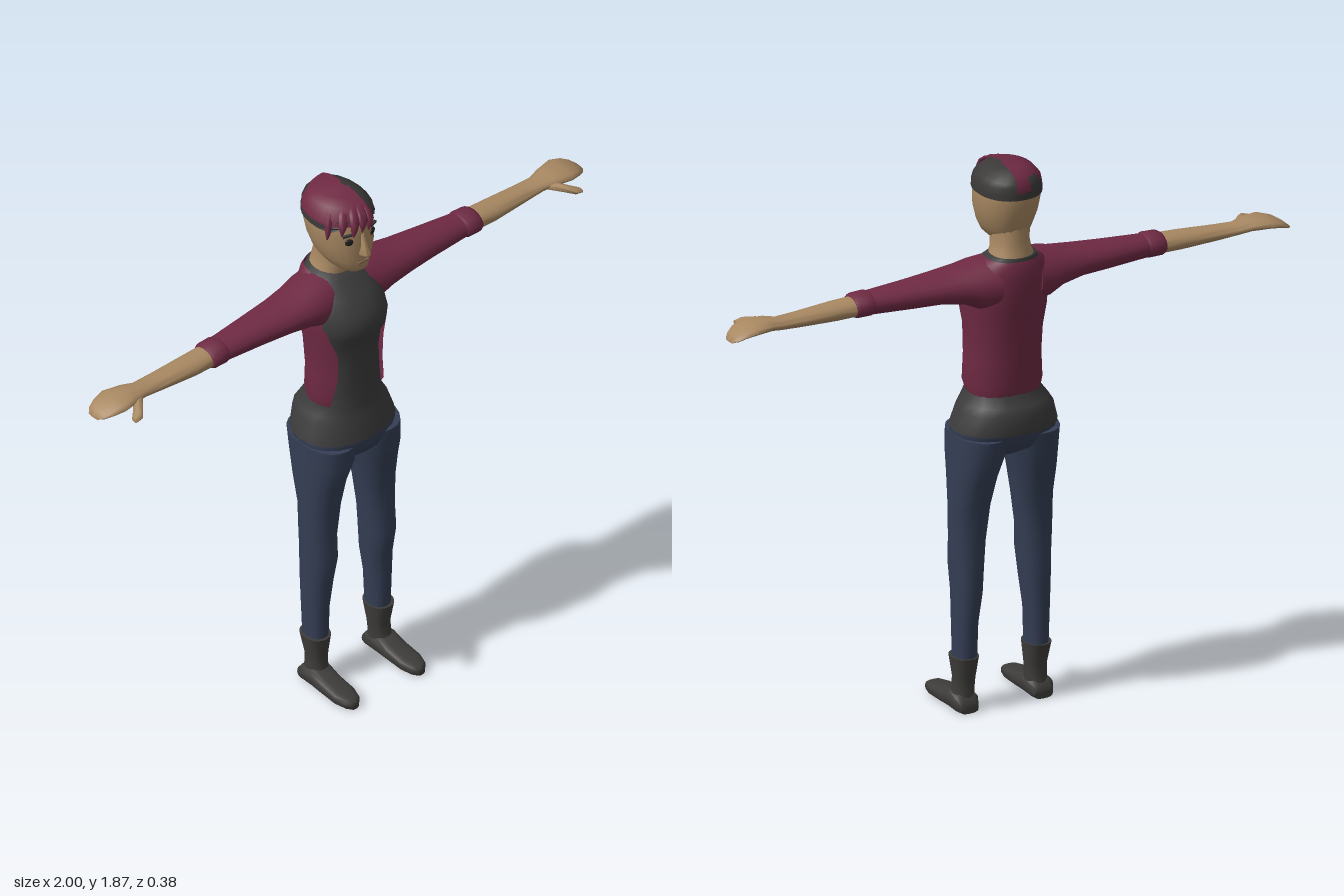
import * as THREE from 'three';
import { toCreasedNormals } from 'three/addons/utils/BufferGeometryUtils.js';

const N = 20;
const sp = (v, p) => Math.sign(v) * Math.abs(v) ** p;

// Cross-section rings: level (with optional opening at the front), across x, across z
function yRing(y, cx, hw, zf, zb, a0 = 0, a1 = null, p = 0.9) {
  const open = a1 !== null, out = [];
  for (let i = 0; i < (open ? N + 1 : N); i++) {
    const a = open ? a0 + (a1 - a0) * i / N : 2 * Math.PI * i / N;
    out.push([cx + hw * sp(Math.sin(a), p), y, (zf + zb) / 2 + (zf - zb) / 2 * sp(Math.cos(a), p)]);
  }
  return out;
}
function xRing([x, cy, hy, cz, hz]) {
  return Array.from({ length: N }, (_, i) => {
    const a = 2 * Math.PI * i / N;
    return [x, cy + hy * Math.cos(a), cz + hz * Math.sin(a)];
  });
}
function zRing([z, cx, hw, h]) {
  return Array.from({ length: N }, (_, i) => {
    const a = 2 * Math.PI * i / N;
    return [cx - hw * sp(Math.sin(a), 0.7), h / 2 + h / 2 * sp(Math.cos(a), 0.6), z];
  });
}

// Skin a list of rings; closed rings get end caps
function loft(rings, closed = true) {
  const n = rings[0].length, pos = rings.flat(), idx = [];
  for (let r = 0; r < rings.length - 1; r++) {
    for (let i = 0; i < (closed ? n : n - 1); i++) {
      const a = r * n + i, b = r * n + (i + 1) % n;
      idx.push(a, b, b + n, a, b + n, a + n);
    }
  }
  if (closed) {
    [0, rings.length - 1].forEach((r, end) => {
      const c = pos.length;
      pos.push([0, 1, 2].map(k => rings[r].reduce((s, v) => s + v[k], 0) / n));
      for (let i = 0; i < n; i++) {
        const a = r * n + i, b = r * n + (i + 1) % n;
        end ? idx.push(a, b, c) : idx.push(b, a, c);
      }
    });
  }
  const g = new THREE.BufferGeometry();
  g.setAttribute('position', new THREE.Float32BufferAttribute(pos.flat(), 3));
  g.setIndex(idx);
  return g;
}
const loftY = rows => loft(rows.map(r => yRing(...r)));
const loftX = rows => loft(rows.map(xRing));

function mirrored(g) {
  const m = g.clone().scale(-1, 1, 1);
  if (m.index) m.index.array.reverse();
  return m;
}

export function createModel() {
  const model = new THREE.Group();
  model.name = 'standingWoman';
  const mat = (name, color) => Object.assign(new THREE.MeshStandardMaterial({ color }), { name });
  const skin = mat('skin', 0xa88862), burgundy = mat('burgundy', 0x6f2a43);
  const charcoal = mat('charcoal shirt', 0x3b3b3b), denim = mat('denim', 0x343e54);
  const leather = mat('boot leather', 0x3d3c3a), darkHair = mat('dark hair', 0x3a3938);
  const ink = mat('eye dark', 0x221e1c), lip = mat('lip', 0x8c6a50);
  burgundy.side = darkHair.side = THREE.DoubleSide;

  const add = (name, g, m, parent = model) => {
    const mesh = new THREE.Mesh(toCreasedNormals(g, 1.05), m);
    mesh.name = name;
    parent.add(mesh);
  };
  const pair = (name, g, m) => {
    add(name + 'Left', g, m);
    add(name + 'Right', mirrored(g), m);
  };

  // Trousers
  add('pelvis', loftY([
    [0.865, 0, 0.07, 0.03, -0.08], [0.9, 0, 0.15, 0.08, -0.14],
    [0.94, 0, 0.176, 0.098, -0.165], [0.975, 0, 0.172, 0.098, -0.177]]), denim);
  pair('leg', loftY([
    [0.16, 0.128, 0.036, 0.025, -0.065], [0.3, 0.128, 0.039, 0.03, -0.072],
    [0.4, 0.122, 0.047, 0.037, -0.08], [0.5, 0.12, 0.052, 0.055, -0.083],
    [0.58, 0.119, 0.056, 0.045, -0.083], [0.7, 0.112, 0.065, 0.05, -0.09],
    [0.8, 0.106, 0.072, 0.07, -0.125], [0.88, 0.095, 0.083, 0.093, -0.15],
    [0.95, 0.09, 0.088, 0.095, -0.165]]), denim);

  // Boots
  pair('bootShaft', loftY([
    [0.03, 0.132, 0.038, 0.04, -0.058], [0.07, 0.13, 0.035, 0.024, -0.05],
    [0.11, 0.128, 0.036, 0.022, -0.052], [0.185, 0.13, 0.045, 0.035, -0.072]]), leather);
  pair('bootFoot', loft([
    [-0.065, 0.133, 0.032, 0.035], [-0.045, 0.134, 0.042, 0.06], [0.01, 0.134, 0.042, 0.068],
    [0.06, 0.135, 0.042, 0.05], [0.13, 0.136, 0.042, 0.04],
    [0.17, 0.136, 0.03, 0.034], [0.186, 0.136, 0.014, 0.025]].map(zRing)), leather);

  // Shirt
  add('shirt', loftY([
    [0.965, 0, 0.177, 0.1, -0.178], [1.03, 0, 0.157, 0.085, -0.182], [1.055, 0, 0.142, 0.077, -0.168],
    [1.085, 0, 0.122, 0.071, -0.138], [1.15, 0, 0.114, 0.069, -0.13], [1.25, 0, 0.11, 0.067, -0.133],
    [1.33, 0, 0.118, 0.075, -0.145], [1.37, 0, 0.13, 0.095, -0.15], [1.41, 0, 0.133, 0.102, -0.16],
    [1.45, 0, 0.13, 0.088, -0.165], [1.5, 0, 0.122, 0.05, -0.172],
    [1.54, 0, 0.098, 0, -0.17], [1.563, 0, 0.076, -0.025, -0.166]]), charcoal);

  // Open jacket: each row ends with the angle of its front edge
  const jacketRows = [
    [1.078, 0.12, 0.06, -0.135, 1.0], [1.115, 0.128, 0.08, -0.144, 0.97], [1.2, 0.124, 0.077, -0.143, 0.8],
    [1.3, 0.126, 0.083, -0.156, 0.8], [1.37, 0.138, 0.094, -0.166, 1.0], [1.45, 0.137, 0.084, -0.18, 1.25],
    [1.5, 0.13, 0.05, -0.182, 1.35], [1.54, 0.106, 0, -0.178, 1.4], [1.555, 0.086, -0.03, -0.172, 1.5]];
  add('jacketBody', loft(jacketRows.map(([y, w, f, b, a]) =>
    yRing(y, 0, w, f, b, a, 2 * Math.PI - a)), false), burgundy);
  pair('sleeve', loftX([
    [0.07, 1.472, 0.083, -0.075, 0.1], [0.12, 1.468, 0.08, -0.07, 0.1], [0.17, 1.473, 0.062, -0.064, 0.09],
    [0.25, 1.475, 0.05, -0.06, 0.078], [0.35, 1.473, 0.045, -0.06, 0.065], [0.51, 1.471, 0.036, -0.057, 0.049]]), burgundy);
  pair('cuff', loftX([
    [0.49, 1.472, 0.036, -0.057, 0.05], [0.5, 1.472, 0.04, -0.056, 0.055],
    [0.545, 1.471, 0.039, -0.056, 0.054], [0.555, 1.471, 0.033, -0.056, 0.048]]), burgundy);

  // Forearms and hands
  pair('forearmAndHand', loftX([
    [0.5, 1.47, 0.032, -0.057, 0.046], [0.62, 1.467, 0.03, -0.057, 0.045], [0.75, 1.466, 0.023, -0.061, 0.039],
    [0.82, 1.467, 0.019, -0.063, 0.037], [0.86, 1.474, 0.02, -0.062, 0.048], [0.92, 1.474, 0.018, -0.063, 0.062],
    [0.96, 1.465, 0.014, -0.066, 0.053], [0.985, 1.454, 0.009, -0.07, 0.04], [1, 1.446, 0.004, -0.072, 0.022]]), skin);
  pair('thumb', loftX([
    [0.83, 1.468, 0.012, -0.05, 0.02], [0.865, 1.465, 0.014, -0.012, 0.024],
    [0.895, 1.458, 0.012, 0.022, 0.024], [0.92, 1.453, 0.007, 0.035, 0.012]]), skin);

  // Head and neck
  add('neck', loftY([
    [1.54, 0, 0.08, -0.02, -0.166], [1.575, 0, 0.064, -0.02, -0.158],
    [1.61, 0, 0.059, -0.012, -0.152], [1.66, 0, 0.06, -0.01, -0.152]]), skin);
  const head = new THREE.Group();
  head.name = 'head';
  model.add(head);
  add('skull', loftY([
    [1.603, 0, 0.045, 0.05, -0.1], [1.615, 0, 0.058, 0.063, -0.13], [1.65, 0, 0.079, 0.062, -0.15],
    [1.7, 0, 0.094, 0.065, -0.168], [1.75, 0, 0.1, 0.06, -0.18], [1.8, 0, 0.099, 0.055, -0.182],
    [1.825, 0, 0.085, 0.04, -0.175], [1.845, 0, 0.055, 0.01, -0.15]]), skin, head);
  add('nose', loftY([
    [1.672, 0, 0.013, 0.072, 0.04], [1.683, 0, 0.017, 0.092, 0.04],
    [1.71, 0, 0.01, 0.082, 0.04], [1.752, 0, 0.007, 0.064, 0.04]]), skin, head);
  add('mouth', new THREE.BoxGeometry(0.042, 0.007, 0.008).translate(0, 1.643, 0.06), lip, head);
  for (const s of [-1, 1]) {
    const side = s > 0 ? 'Left' : 'Right';
    add('eye' + side, new THREE.SphereGeometry(1, 14, 10).scale(0.014, 0.013, 0.005)
      .rotateY(s * 0.4).translate(s * 0.048, 1.735, 0.05), ink, head);
    add('brow' + side, new THREE.BoxGeometry(0.038, 0.007, 0.008)
      .rotateZ(-s * 0.12).rotateY(s * 0.4).translate(s * 0.05, 1.762, 0.049), darkHair, head);
  }

  // Short dark hair around the sides and back
  const capRows = [
    [1.77, 0.105, 0.062, -0.187, 1], [1.79, 0.105, 0.062, -0.188, 0.6], [1.81, 0.1, 0.058, -0.187, 0.2],
    [1.825, 0.092, 0.049, -0.183, 0], [1.845, 0.07, 0.025, -0.165, 0],
    [1.858, 0.04, -0.015, -0.13, 0], [1.861, 0.003, -0.05, -0.07, 0]];
  add('hairSides', loft(capRows.map(([y, w, f, b, a]) =>
    yRing(y, 0, w, f, b, a, 2 * Math.PI - a)), false), darkHair, head);

  // Dyed top swept to the right, with a fringe of tapered locks
  const topRows = [
    [1.795, 0.137, 0.068, -0.192], [1.82, 0.131, 0.061, -0.19], [1.845, 0.11, 0.037, -0.172],
    [1.86, 0.078, -0.003, -0.14], [1.867, 0.01, -0.05, -0.08]];
  add('hairTop', loft(topRows.map(([y, w, f, b]) =>
    yRing(y, 0.03, w, f, b, Math.PI, 2 * Math.PI)), false), burgundy, head);
  const locks = [[-0.097, 1.748, 0.012], [-0.068, 1.768, 0.016], [-0.036, 1.76, 0.016], [-0.006, 1.772, 0.016], [0.022, 1.765, 0.013]];
  locks.forEach(([x, tip, w], i) => {
    const z = -0.06 + 0.128 * Math.sqrt(1 - (x / 0.112) ** 2);
    add('fringeLock' + (i + 1), loftY([
      [tip, x - 0.004, 0.002, z + 0.004, z - 0.002], [tip + 0.02, x, w * 0.65, z + 0.009, z - 0.008],
      [1.805, x + 0.004, w, z + 0.009, z - 0.012], [1.83, x * 0.85 + 0.008, w, z - 0.008, z - 0.03],
      [1.848, x * 0.6 + 0.012, w * 0.7, z - 0.035, z - 0.055]]), burgundy, head);
  });
  return model;
}
